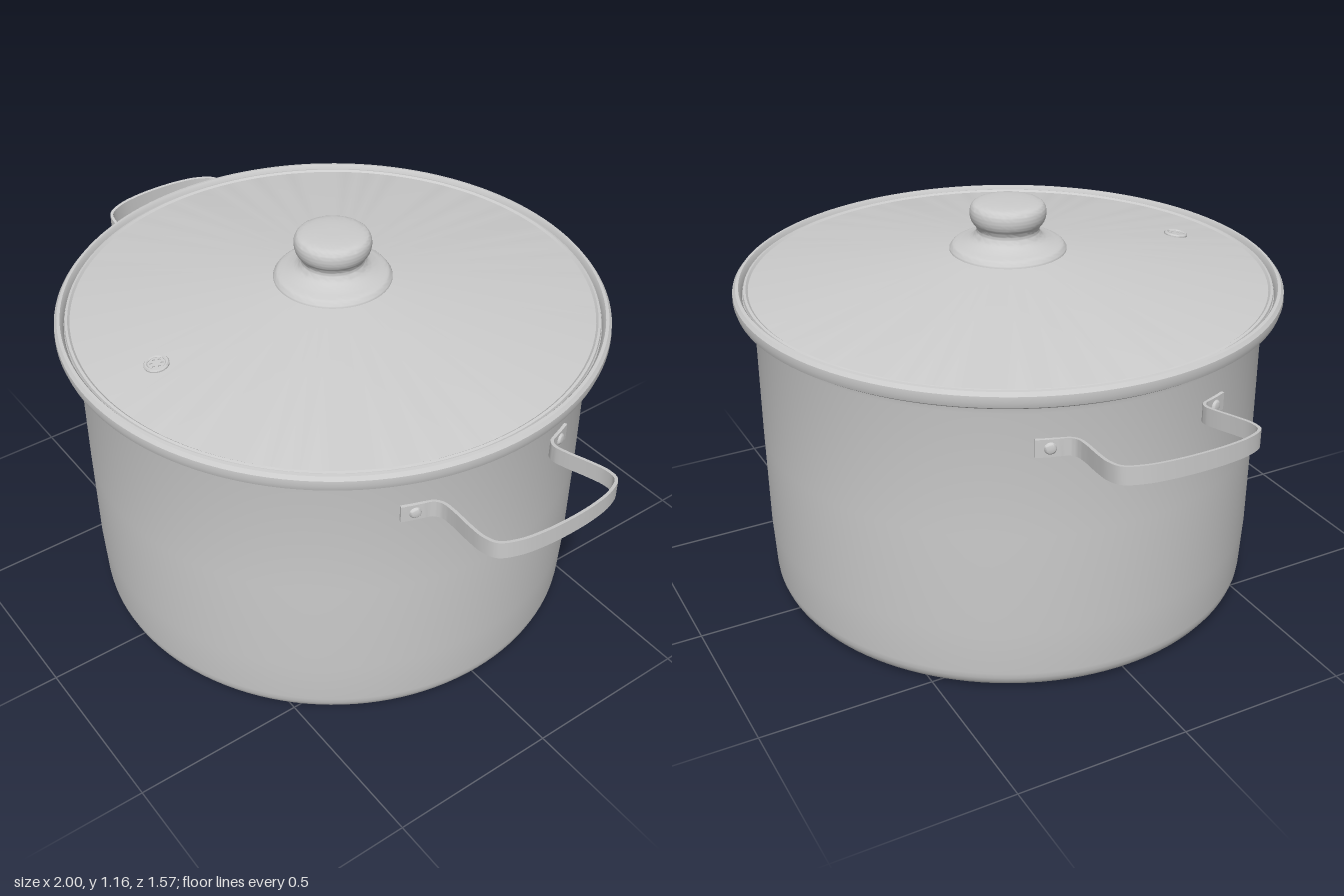
import * as THREE from 'three';
import { toCreasedNormals } from 'three/addons/utils/BufferGeometryUtils.js';

const material = new THREE.MeshStandardMaterial({ color: 0xcccccc });

function addMesh(parent, name, geometry, crease = 0.6) {
  const mesh = new THREE.Mesh(toCreasedNormals(geometry, crease), material);
  mesh.name = name;
  parent.add(mesh);
  return mesh;
}

// Profiles run [radius, height], outside surface from bottom to top
function lathe(points, segments = 96) {
  return new THREE.LatheGeometry(points.map(([r, y]) => new THREE.Vector2(r, y)), segments);
}

const lidHeight = (r) => 1.017 - (r - 0.165) * 0.148;

// Hollow pot: flat base, rounded corner, slightly tapered wall, rolled rim
function createBody() {
  const profile = [[0, 0], [0.665, 0]];
  for (let i = 1; i <= 6; i++) {
    const a = (i / 6) * Math.PI / 2;
    profile.push([0.665 + 0.055 * Math.sin(a), 0.06 * (1 - Math.cos(a))]);
  }
  profile.push([0.727, 0.2], [0.73, 0.5], [0.73, 0.86], [0.735, 0.882], [0.748, 0.893],
    [0.769, 0.894], [0.781, 0.902], [0.786, 0.918], [0.785, 0.934], [0.777, 0.944],
    [0.768, 0.945], [0.763, 0.938], [0.759, 0.922], [0.735, 0.912], [0.72, 0.89],
    [0.718, 0.5], [0.708, 0.06], [0.66, 0.015], [0, 0.015]);
  return lathe(profile, 128);
}

// Shallow conical lid with a raised edge band
function createLid() {
  return lathe([[0, 1.012], [0.15, 1.006], [0.735, 0.918], [0.752, 0.92], [0.757, 0.928],
    [0.755, 0.935], [0.748, 0.937], [0.742, lidHeight(0.742)], [0.165, lidHeight(0.165)], [0, 1.025]], 128);
}

// Flared knob with a mushroom head
function createKnob() {
  const head = new THREE.SplineCurve([[0.168, 1.02], [0.157, 1.033], [0.13, 1.041], [0.105, 1.052],
    [0.091, 1.069], [0.092, 1.085], [0.104, 1.102], [0.109, 1.122], [0.106, 1.142], [0.092, 1.154],
    [0.05, 1.159], [0, 1.16]].map(([r, y]) => new THREE.Vector2(r, y)));
  const points = head.getPoints(44).map((p) => [Math.max(p.x, 0), p.y]);
  points[points.length - 1][0] = 0;
  return lathe([[0, 1.005], [0.168, 1.005], ...points], 64);
}

// Flat strap bent from tab to tab, rising towards its outer end
function createStrap() {
  const half = [[0.679, 0.283], [0.690, 0.255], [0.701, 0.225], [0.712, 0.202], [0.735, 0.19],
    [0.78, 0.192], [0.85, 0.203], [0.91, 0.208], [0.95, 0.197], [0.977, 0.15], [0.991, 0.08]];
  const path = [...half, [0.995, 0], ...half.map(([x, z]) => [x, -z]).reverse()];
  const curve = new THREE.CatmullRomCurve3(path.map(([x, z]) => new THREE.Vector3(x, z, 0)));
  const count = 96;
  const sides = [[], []];
  for (let i = 0; i <= count; i++) {
    const p = curve.getPoint(i / count);
    const t = curve.getTangent(i / count);
    [0.0045, -0.0045].forEach((d, k) => sides[k].push(new THREE.Vector2(p.x - t.y * d, p.y + t.x * d)));
  }
  const shape = new THREE.Shape([...sides[0], ...sides[1].reverse()]);
  const geometry = new THREE.ExtrudeGeometry(shape, { depth: 0.05, bevelEnabled: false });
  geometry.rotateX(-Math.PI / 2);
  const pos = geometry.attributes.position;
  for (let i = 0; i < pos.count; i++) {
    const rise = Math.max(0, pos.getX(i) - 0.7) * 0.155;
    pos.setY(i, pos.getY(i) + 0.74 + rise);
  }
  return geometry;
}

function createHandle(name) {
  const handle = new THREE.Group();
  handle.name = name;
  addMesh(handle, 'handleStrap', createStrap(), 0.5);
  // Domed rivet on each tab
  for (const side of [1, -1]) {
    const rivet = addMesh(handle, 'rivet', new THREE.SphereGeometry(0.017, 20, 10, 0, Math.PI * 2, 0, Math.PI / 2));
    const angle = Math.atan2(side * 0.247, 0.693);
    const out = new THREE.Vector3(Math.cos(angle), 0, Math.sin(angle));
    rivet.position.copy(out).multiplyScalar(0.739).setY(0.765);
    rivet.quaternion.setFromUnitVectors(new THREE.Vector3(0, 1, 0), out);
    rivet.scale.y = 0.6;
  }
  return handle;
}

// Steam vent: grommet ring around a perforated disc
function createVent() {
  const vent = new THREE.Group();
  vent.name = 'steamVent';
  addMesh(vent, 'ventRing', lathe([[0.024, 0], [0.035, 0], [0.035, 0.004], [0.032, 0.008],
    [0.027, 0.008], [0.024, 0.005], [0.024, 0]].map(([r, y]) => [r, y]), 40));
  const disc = new THREE.Shape().absarc(0, 0, 0.025, 0, Math.PI * 2);
  for (let i = 0; i < 6; i++) {
    const a = (i / 6) * Math.PI * 2;
    disc.holes.push(new THREE.Path().absarc(0.015 * Math.cos(a), 0.015 * Math.sin(a), 0.004, 0, Math.PI * 2, true));
  }
  const plate = new THREE.ExtrudeGeometry(disc, { depth: 0.004, bevelEnabled: false, curveSegments: 16 });
  addMesh(vent, 'ventPlate', plate.rotateX(-Math.PI / 2));
  vent.position.set(0, lidHeight(0.577), 0.577);
  vent.rotation.x = Math.atan(0.148);
  return vent;
}

export function createModel() {
  const model = new THREE.Group();
  model.name = 'stockPot';
  addMesh(model, 'potBody', createBody());

  const lid = new THREE.Group();
  lid.name = 'lid';
  addMesh(lid, 'lidPlate', createLid(), 0.4);
  addMesh(lid, 'lidKnob', createKnob());
  lid.add(createVent());
  model.add(lid);

  const left = createHandle('leftHandle');
  const right = createHandle('rightHandle');
  right.rotation.y = Math.PI;
  model.add(left, right);
  return model;
}
